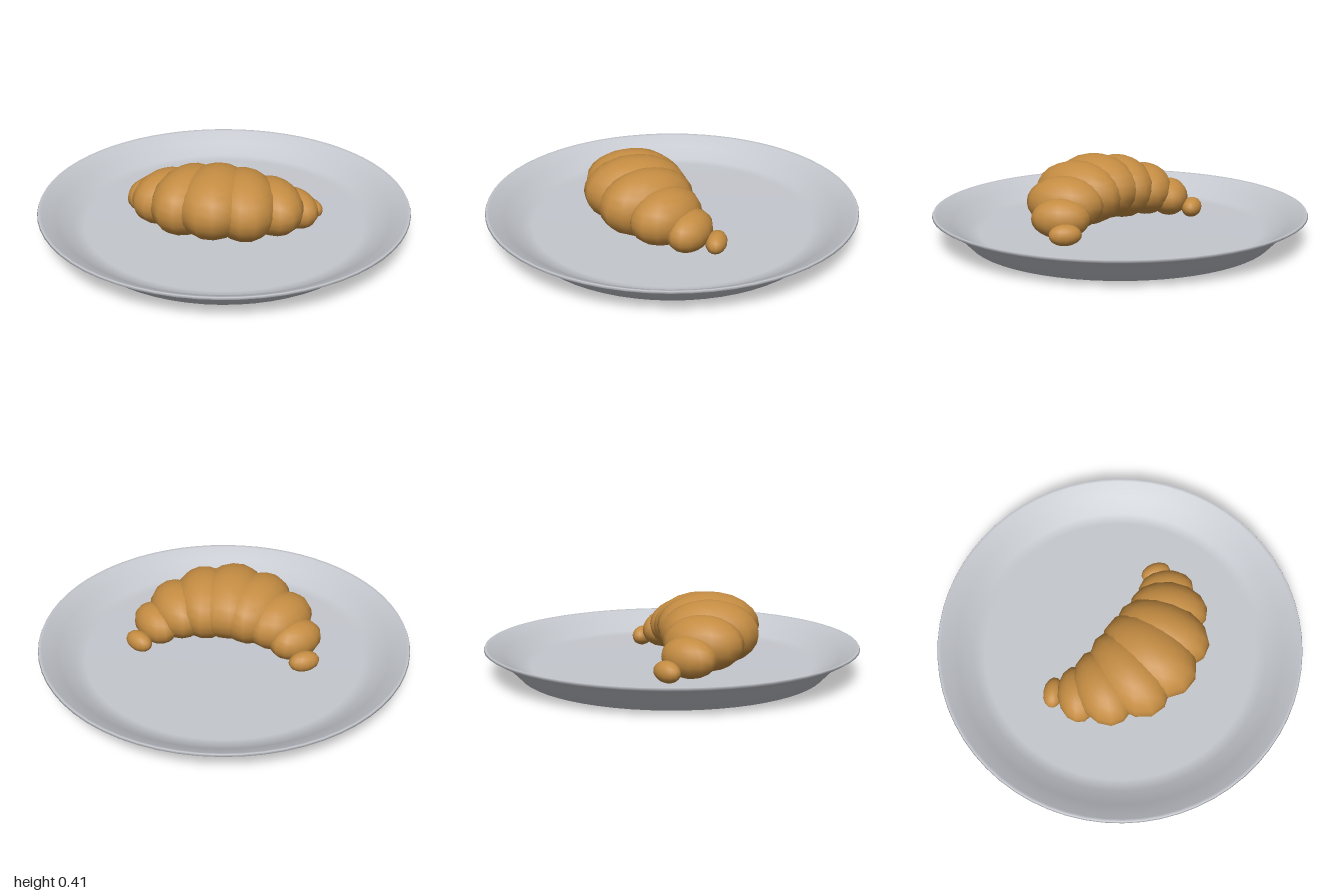
import * as THREE from 'three';

export function createModel() {
  const group = new THREE.Group();
  const plateGrey = new THREE.MeshStandardMaterial({ color: 0xc4c7cd });
  plateGrey.name = 'plate grey';
  const crust = new THREE.MeshStandardMaterial({ color: 0xc48c42 });
  crust.name = 'golden crust';

  // Plate: flat foot, flared wall, thin rim and a shallow dished inside
  const profile = [
    [0, 0], [0.76, 0], [0.82, 0], [0.9, 0.085], [0.985, 0.135], [1, 0.145],
    [0.995, 0.155], [0.98, 0.15], [0.9, 0.105], [0.82, 0.045], [0.76, 0.035], [0, 0.035],
  ].map(([r, y]) => new THREE.Vector2(r, y));
  const plate = new THREE.Mesh(new THREE.LatheGeometry(profile, 64), plateGrey);
  plate.name = 'plate';
  group.add(plate);

  // Croissant: overlapping lobes fanning out along a crescent, shrinking to the tips
  const croissant = new THREE.Group();
  croissant.name = 'croissant';
  group.add(croissant);
  const lobeShape = new THREE.SphereGeometry(1, 14, 12);
  const lobes = [ // centre, half sizes (width, height, length)
    { at: [0, 0.23, 0.2], size: [0.2, 0.18, 0.282] },
    { at: [0.145, 0.215, 0.178], size: [0.18, 0.175, 0.265] },
    { at: [0.285, 0.19, 0.115], size: [0.155, 0.145, 0.215] },
    { at: [0.39, 0.142, 0.02], size: [0.108, 0.105, 0.155] },
    { at: [0.455, 0.09, -0.1], size: [0.055, 0.055, 0.085] },
  ];
  lobes.forEach(({ at: [x, y, z], size }, i) => {
    for (const side of i === 0 ? [1] : [1, -1]) {
      const lobe = new THREE.Mesh(lobeShape, crust);
      lobe.name = i === 0 ? 'middleLobe' : (side > 0 ? 'left' : 'right') + (i === 4 ? 'Tip' : 'Lobe' + i);
      lobe.position.set(side * x, y, z);
      lobe.rotation.y = side * i * Math.PI / 12;
      lobe.scale.set(...size);
      croissant.add(lobe);
    }
  });
  return group;
}
